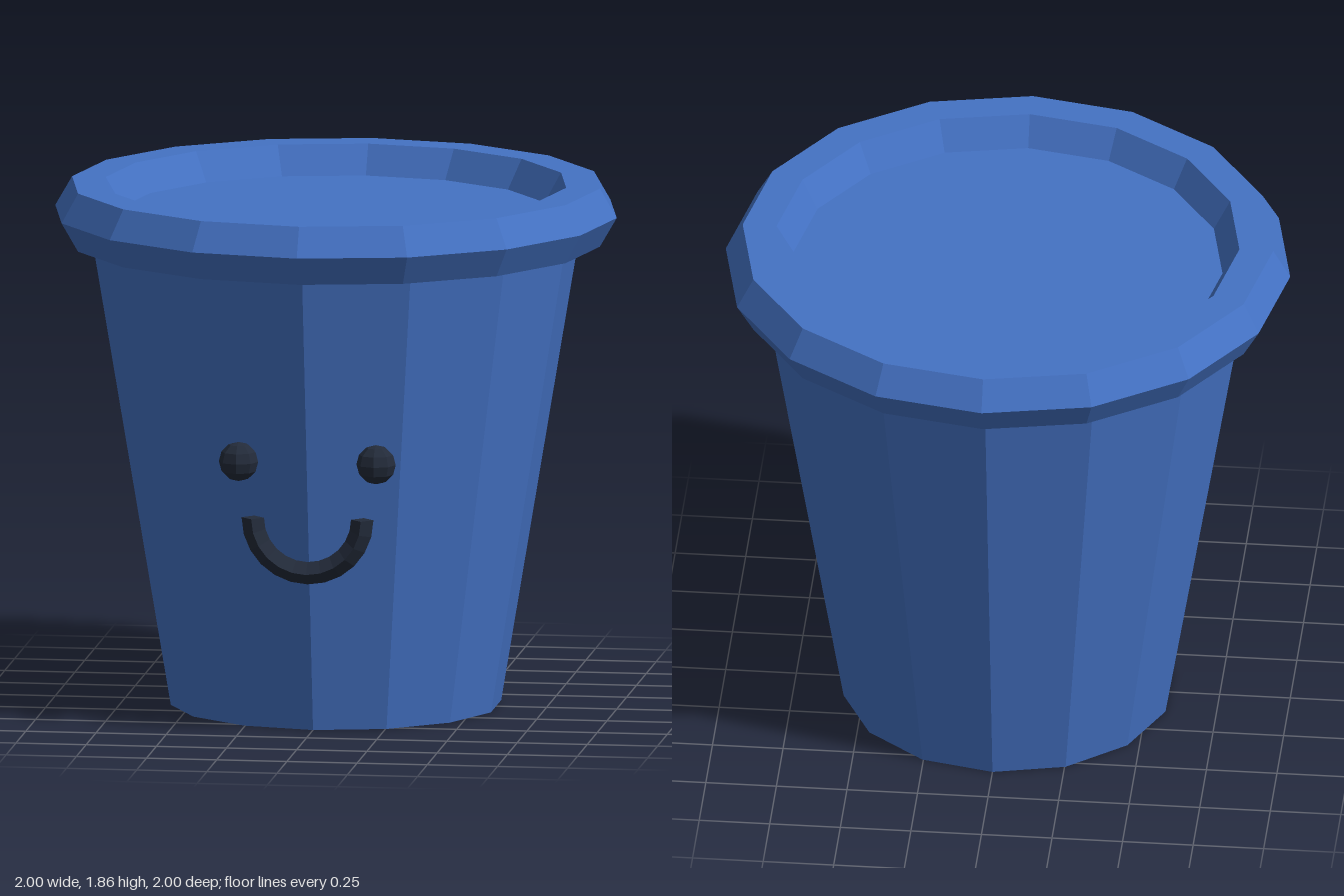
import * as THREE from 'three';

export function createModel() {
  const group = new THREE.Group();
  const blue = new THREE.MeshStandardMaterial({ color: 0x4472c4, flatShading: true });
  blue.name = 'bucketBlue';
  const dark = new THREE.MeshStandardMaterial({ color: 0x232b3a, flatShading: true });
  dark.name = 'faceDark';

  const add = (name, geometry, material, x, y, z) => {
    const mesh = new THREE.Mesh(geometry, material);
    mesh.name = name;
    mesh.position.set(x, y, z);
    group.add(mesh);
    return mesh;
  };

  // Tapered 14-sided body, its closed top recessed in the rim
  const height = 1.757;
  add('body', new THREE.CylinderGeometry(0.878, 0.585, height, 14), blue, 0, height / 2, 0);

  // Chunky hexagonal-section rim
  add('rim', new THREE.TorusGeometry(0.88, 0.12, 6, 16).rotateX(Math.PI / 2), blue, 0, height, 0);

  // Smile: lower half of a diamond-section ring
  const smileY = 0.78, smileZ = 0.725, smileR = 0.195, tube = 0.04;
  add('smile', new THREE.TorusGeometry(smileR, tube, 4, 12, Math.PI).rotateZ(Math.PI), dark, 0, smileY, smileZ);

  // Eyes and smile end caps, mirrored
  for (const [side, s] of [['left', 1], ['right', -1]]) {
    add(side + 'Eye', new THREE.SphereGeometry(0.07, 8, 6), dark, s * 0.245, 0.98, 0.73);
    add(side + 'SmileEnd', new THREE.CircleGeometry(tube, 4).rotateX(-Math.PI / 2), dark, s * smileR, smileY, smileZ);
  }
  return group;
}
